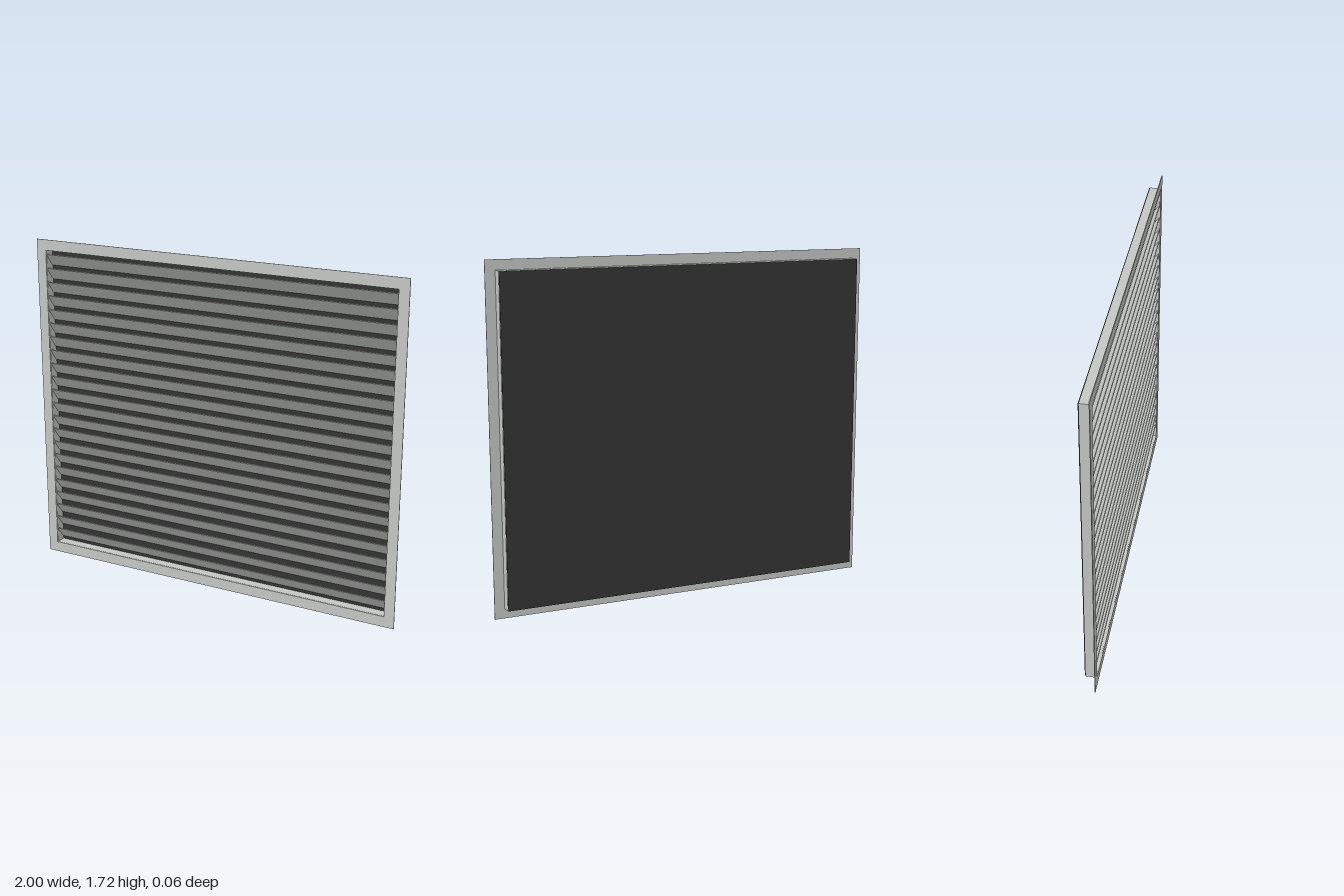
import * as THREE from 'three';

const H = 1.715;        // overall height
const MID = H / 2;
const FRONT = 0.03;     // front plane of the flange
const BACK = -0.03;     // rear plane of the panel

// Rectangular ring centred on the grille, from z0 to z1
function ring(outerW, outerH, innerW, innerH, z0, z1, material, name) {
  const rect = (P, w, h) => new P([
    new THREE.Vector2(-w / 2, -h / 2), new THREE.Vector2(w / 2, -h / 2),
    new THREE.Vector2(w / 2, h / 2), new THREE.Vector2(-w / 2, h / 2),
  ]);
  const shape = rect(THREE.Shape, outerW, outerH);
  shape.holes.push(rect(THREE.Path, innerW, innerH));
  const geo = new THREE.ExtrudeGeometry(shape, { depth: z1 - z0, bevelEnabled: false });
  const mesh = new THREE.Mesh(geo, material);
  mesh.position.set(0, MID, z0);
  mesh.name = name;
  return mesh;
}

export function createModel() {
  const aluminium = new THREE.MeshStandardMaterial({ color: 0xc3c6c2 });
  aluminium.name = 'light grey metal';
  const dark = new THREE.MeshStandardMaterial({ color: 0x333433 });
  dark.name = 'dark backing';

  const model = new THREE.Group();
  model.name = 'louvreGrille';

  // Thin front flange and the shallow casing behind it
  model.add(ring(2, H, 1.896, 1.606, FRONT - 0.004, FRONT, aluminium, 'flange'));
  model.add(ring(1.9, 1.616, 1.892, 1.604, BACK + 0.005, FRONT - 0.004, aluminium, 'casing'));

  // Dark panel closing the rear
  const panel = new THREE.Mesh(new THREE.BoxGeometry(1.896, 1.612, 0.005), dark);
  panel.position.set(0, MID, BACK + 0.0025);
  panel.name = 'backPanel';
  model.add(panel);

  // Slats leaning forward at the top, with narrow gaps between them
  const count = 22, pitch = 0.0716, rise = 0.062, run = 0.048;
  const slatGeo = new THREE.BoxGeometry(1.893, Math.hypot(rise, run), 0.004);
  const slats = new THREE.Group();
  slats.name = 'slats';
  for (let i = 0; i < count; i++) {
    const slat = new THREE.Mesh(slatGeo, aluminium);
    slat.position.set(0, MID + (i - (count - 1) / 2) * pitch, 0.002);
    slat.rotation.x = Math.atan2(run, rise);
    slat.name = 'slat';
    slats.add(slat);
  }
  model.add(slats);

  return model;
}
